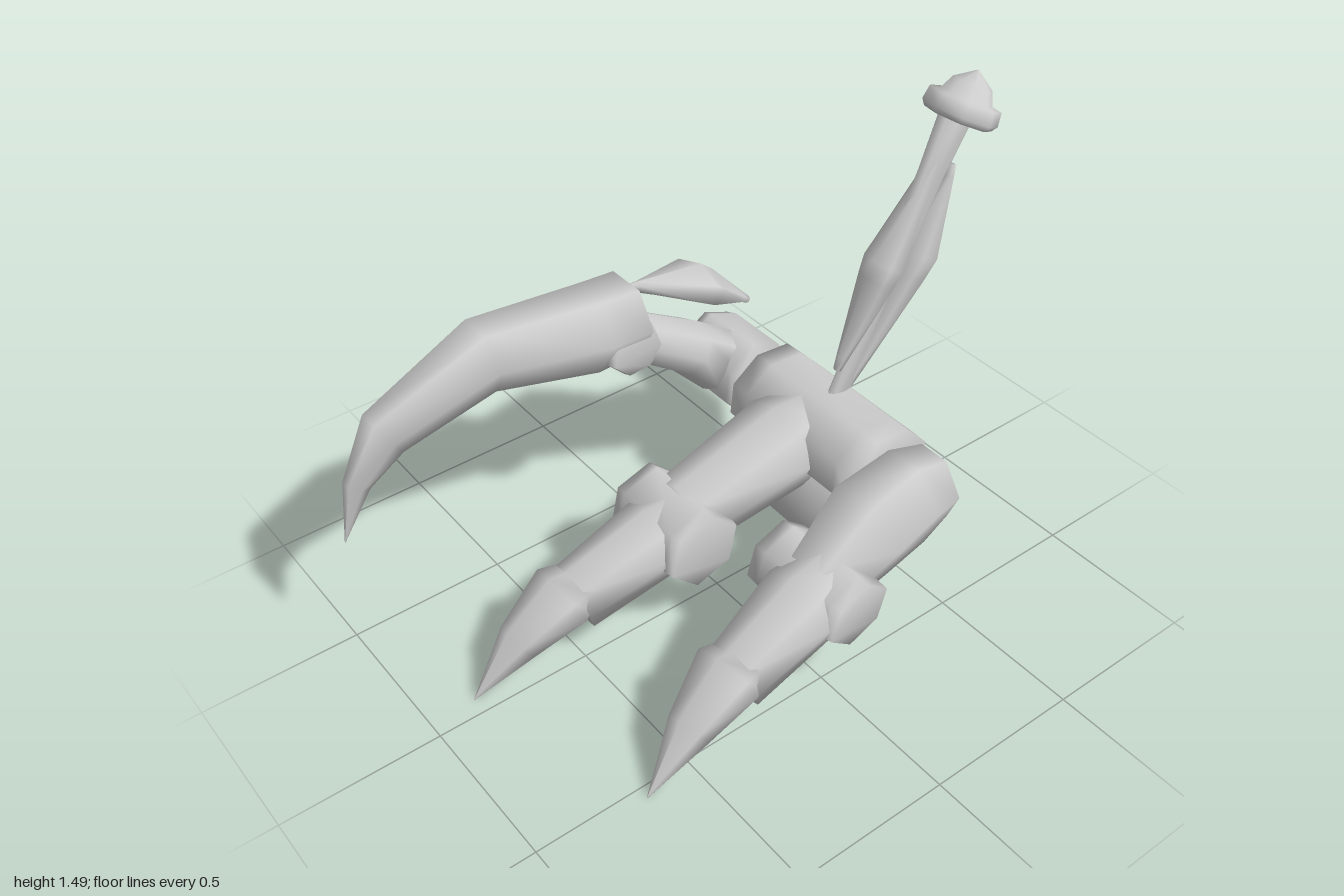
import * as THREE from 'three';

const V = (a) => new THREE.Vector3(...a);

// Loft through stations [x, y, z, radiusAcross, radiusUp], softly shaded and closed at both ends.
function loft(stations, sides, across = [1, 0, 0], turn = 0) {
  const pos = [], idx = [];
  const pts = stations.map((s) => V(s));
  stations.forEach((s, i) => {
    const t = pts[Math.min(i + 1, pts.length - 1)].clone().sub(pts[Math.max(i - 1, 0)]).normalize();
    const side = V(across).addScaledVector(t, -t.dot(V(across))).normalize();
    const up = t.clone().cross(side);
    for (let k = 0; k < sides; k++) {
      const a = turn + (k / sides) * Math.PI * 2;
      const p = pts[i].clone().addScaledVector(side, Math.cos(a) * s[3]).addScaledVector(up, Math.sin(a) * s[4]);
      pos.push(p.x, p.y, p.z);
    }
  });
  const last = (stations.length - 1) * sides;
  for (let i = 0; i < last; i += sides) {
    for (let k = 0; k < sides; k++) {
      const a = i + k, b = i + (k + 1) % sides;
      idx.push(a, b, b + sides, a, b + sides, a + sides);
    }
  }
  for (let k = 1; k < sides - 1; k++) {
    idx.push(0, k + 1, k, last, last + k, last + k + 1);
  }
  const g = new THREE.BufferGeometry();
  g.setAttribute('position', new THREE.Float32BufferAttribute(pos, 3));
  g.setIndex(idx);
  g.computeVertexNormals();
  return g;
}

export function createModel() {
  const grey = new THREE.MeshStandardMaterial({ color: 0xcccccc });
  grey.name = 'plain grey';
  const model = new THREE.Group();
  model.name = 'clawedFoot';
  const add = (name, geometry) => {
    const m = new THREE.Mesh(geometry, grey);
    m.name = name;
    model.add(m);
    return m;
  };
  const bone = (name, stations, sides = 8, turn = 0) => add(name, loft(stations, sides, [1, 0, 0], turn));
  // Barrel lying along x, slightly bulged; dy and dz tilt its axis
  const barrel = (name, [x, y, z], half, rz, ry, { sides = 7, dy = 0, dz = 0, taper = 0.9, turn = 0.3 } = {}) =>
    add(name, loft([[-1, taper], [-0.75, 1], [0.75, 1], [1, taper]].map(
      ([f, r]) => [x + half * f, y + dy * f, z + dz * f, rz * r, ry * r]), sides, [0, 0, 1], turn));
  // Spindle between two points, with its widest place given
  const spindle = (name, from, mid, to, rx, ry) => bone(name, [
    [...from, 0.012, 0.012],
    [...V(from).lerp(V(mid), 0.12).toArray(), 0.02, 0.018],
    [...V(from).lerp(V(mid), 0.85).toArray(), rx * 0.9, ry * 0.92],
    [...mid, rx, ry],
    [...V(to).lerp(V(mid), 0.12).toArray(), 0.02, 0.018],
    [...to, 0.012, 0.012],
  ], 6, Math.PI / 6);

  // Leg shaft, tendons and collar
  bone('legShaft', [
    [0.005, 0.48, -0.445, 0.02, 0.045],
    [0.005, 0.75, -0.57, 0.018, 0.045],
    [0.005, 1.2, -0.795, 0.018, 0.065],
    [0.005, 1.38, -0.885, 0.02, 0.085],
  ]);
  spindle('frontTendon', [0.005, 0.63, -0.46], [0.005, 0.95, -0.625], [0.005, 1.27, -0.82], 0.068, 0.058);
  spindle('rearTendon', [0.005, 0.54, -0.5], [0.005, 0.94, -0.765], [0.005, 1.2, -0.88], 0.068, 0.06);
  const collar = add('legCollar', new THREE.LatheGeometry([
    [0, 0.03], [0.075, 0.025], [0.08, -0.03], [0.105, -0.03], [0.118, -0.012],
    [0.112, 0.03], [0.08, 0.036], [0.062, 0.078], [0, 0.12],
  ].map((p) => new THREE.Vector2(...p)), 8));
  collar.position.set(0.012, 1.38, -0.888);
  collar.rotation.x = -0.466;

  // Ankle bars
  barrel('upperAnkleBar', [0, 0.42, -0.43], 0.28, 0.165, 0.145, { sides: 8, taper: 0.99 });
  barrel('lowerAnkleBar', [-0.005, 0.22, -0.44], 0.297, 0.195, 0.185,
    { dy: -0.02, dz: -0.01, taper: 0.97, turn: 0.65 });

  // Raised toe with the sickle claw
  barrel('raisedToeKnuckle', [-0.45, 0.41, -0.425], 0.147, 0.13, 0.138);
  bone('raisedToeBone', [
    [-0.455, 0.44, -0.37, 0.095, 0.11],
    [-0.455, 0.56, -0.23, 0.11, 0.09],
    [-0.45, 0.73, 0.03, 0.095, 0.075],
  ]);
  barrel('raisedToeJoint', [-0.45, 0.728, 0.037], 0.115, 0.097, 0.09);
  spindle('raisedToeTendon', [-0.455, 0.635, -0.48], [-0.455, 0.79, -0.27], [-0.455, 0.87, -0.02], 0.115, 0.062);
  bone('sickleClaw', [
    [-0.452, 0.79, -0.01, 0.135, 0.128],
    [-0.452, 0.79, 0.13, 0.132, 0.14],
    [-0.452, 0.855, 0.5, 0.112, 0.114],
    [-0.452, 0.735, 0.83, 0.068, 0.086],
    [-0.45, 0.6, 0.935, 0.035, 0.042],
    [-0.447, 0.42, 1.0, 0.001, 0.001],
  ], 6);

  // Middle toe
  bone('middleToeUpperBone', [
    [-0.045, 0.435, -0.4, 0.12, 0.115],
    [-0.045, 0.405, -0.29, 0.155, 0.15],
    [-0.045, 0.32, 0.1, 0.125, 0.118],
  ]);
  barrel('middleToeJoint', [-0.046, 0.295, 0.13], 0.155, 0.13, 0.132, { sides: 6, taper: 0.96 });
  bone('middleToeLowerBone', [
    [-0.046, 0.31, 0.1, 0.1, 0.1],
    [-0.046, 0.285, 0.2, 0.128, 0.125],
    [-0.06, 0.192, 0.49, 0.098, 0.115],
  ]);

  // Outer toe, angled outwards
  bone('outerToeUpperBone', [
    [0.385, 0.41, -0.53, 0.11, 0.125],
    [0.38, 0.4, -0.42, 0.13, 0.172],
    [0.385, 0.37, -0.24, 0.15, 0.168],
    [0.43, 0.31, -0.02, 0.115, 0.12],
  ], 6, 0.05);
  barrel('outerToeJoint', [0.42, 0.31, -0.035], 0.17, 0.12, 0.112, { sides: 6, dy: -0.01, dz: -0.015, taper: 0.96 });
  bone('outerToeLowerBone', [
    [0.435, 0.32, -0.08, 0.1, 0.115],
    [0.45, 0.295, 0.05, 0.135, 0.128],
    [0.475, 0.188, 0.315, 0.098, 0.115],
  ]);

  // Ridged claws of the two walking toes, from base to tip
  for (const [name, x, z, tipX, tipZ] of [
    ['middleToeClaw', -0.058, 0.52, -0.055, 0.855],
    ['outerToeClaw', 0.48, 0.325, 0.54, 0.665],
  ]) {
    bone(name, [
      [x, 0.235, z - 0.04, 0.09, 0.07],
      [x, 0.228, z + 0.01, 0.112, 0.092],
      [x + (tipX - x) * 0.5, 0.138, z + 0.17, 0.07, 0.062],
      [tipX, 0, tipZ, 0.001, 0.001],
    ], 6, Math.PI / 6);
  }
  return model;
}
